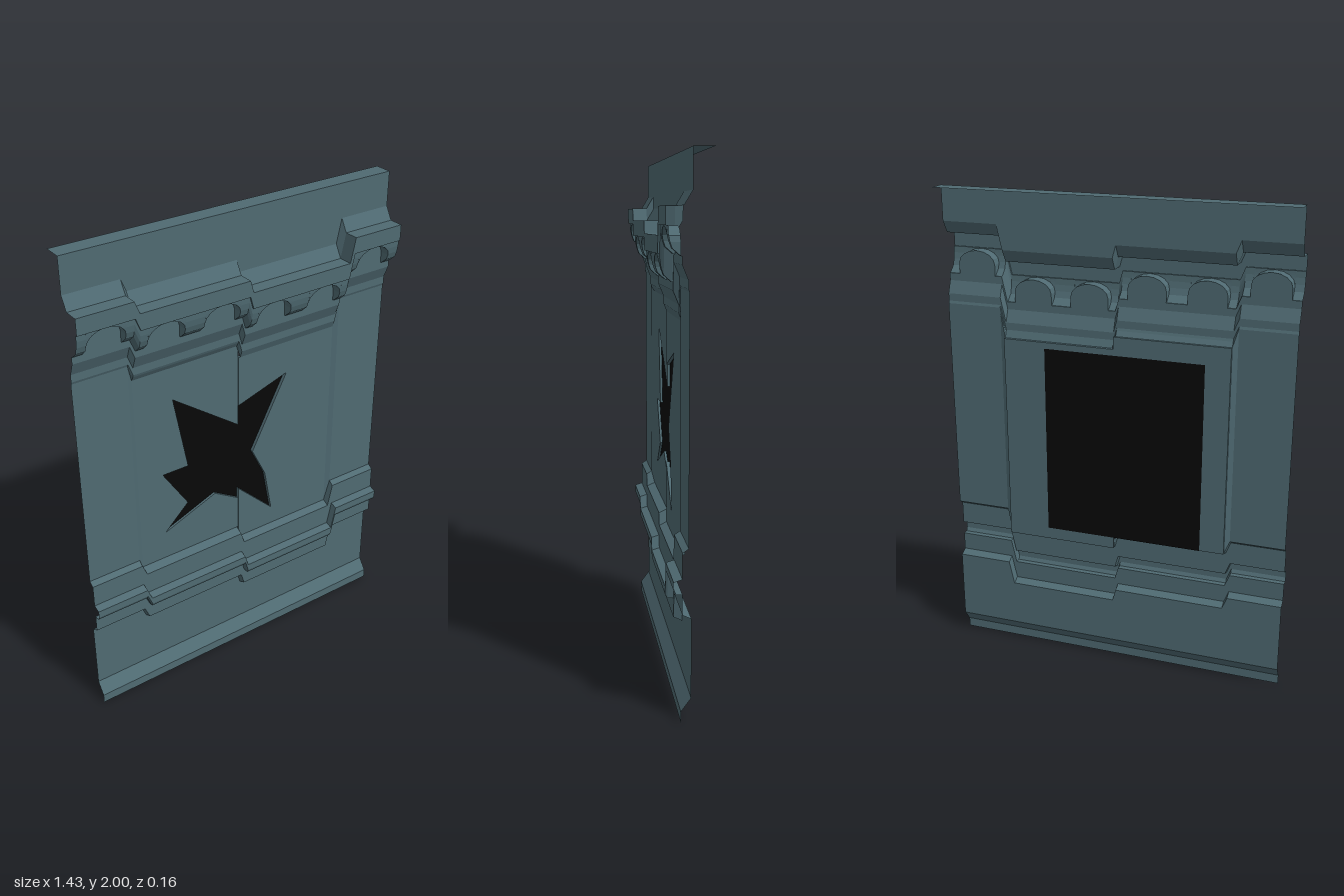
import * as THREE from 'three';

const WALL_Z = -0.01;

// Height of a rounded arch opening at offset u (-1..1) from its centre
const archY = (u) => 1.69 + 0.053 * Math.sqrt(Math.max(0, 1 - u * u));

// Vertical moulding profile [y, z, shifts with the bay] for one column, top to bottom
function profile({ dy, arch, panelZ }) {
  const rows = [
    [2, -0.083, 0], [2, WALL_Z, 0],
    [1.86, WALL_Z, 1], [1.81, 0.02, 1], [1.81, 0.08, 1], [1.745, 0.08, 1],
  ];
  // Quarter-round below the cornice, cut short where an arch opens
  for (let i = 0; i <= 4; i++) {
    const y = THREE.MathUtils.lerp(1.745, arch, i / 4);
    const t = (1.745 - y) / 0.1;
    rows.push([y, 0.03 + 0.043 * Math.sqrt(Math.max(0, 1 - t * t)), 1]);
  }
  rows.push(
    [arch, 0.025, 1], [1.645, 0.025, 1], [1.615, 0.025, 1], [1.565, 0.004, 1],
    [1.535, 0.004, 1], [1.525, 0, 1], [1.505, panelZ, 1],
    [0.64, panelZ, 1], [0.625, 0.022, 1], [0.53, 0.022, 1], [0.52, 0.053, 1],
    [0.49, 0.053, 1], [0.475, 0.045, 1], [0.475, 0.022, 1], [0.4, 0.022, 1],
    [0.385, WALL_Z, 1],
    [0.09, WALL_Z, 0], [0.04, 0.027, 0], [0, 0.027, 0],
  );
  return rows.map(([y, z, s]) => [y + s * dy, z]);
}
const PANEL_ROW = 17; // row where the flat panel begins

// Columns across the wall: each bay has its own drop and its arches
function makeColumns() {
  const bays = [
    { x0: -0.716, x1: -0.49, dy: 0, panelZ: 0, arches: [-0.6] },
    { x0: -0.47, x1: -0.006, dy: -0.05, panelZ: -0.012, open: true, arches: [-0.36, -0.12] },
    { x0: 0.008, x1: 0.465, dy: -0.1, panelZ: -0.008, open: true, arches: [0.115, 0.353] },
    { x0: 0.487, x1: 0.716, dy: 0, panelZ: 0, arches: [0.593] },
  ];
  const columns = [];
  for (const bay of bays) {
    const add = (x, arch) => columns.push({ ...bay, x, arch });
    add(bay.x0, 1.645);
    for (const cx of bay.arches) {
      const r = 0.078;
      add(cx - r, 1.645);
      for (let i = 0; i <= 8; i++) {
        const u = -Math.cos((i / 8) * Math.PI);
        add(cx + u * r, archY(u));
      }
      add(cx + r, 1.645);
    }
    add(bay.x1, 1.645);
  }
  return columns;
}

function mouldedWallGeometry() {
  const columns = makeColumns();
  const grid = columns.map((c) => profile(c).map(([y, z]) => new THREE.Vector3(c.x, y, z)));
  const pos = [];
  const tri = (a, b, c) => {
    if (new THREE.Triangle(a, b, c).getArea() > 1e-8) {
      for (const p of [a, b, c]) pos.push(p.x, p.y, p.z);
    }
  };
  for (let i = 0; i < grid.length - 1; i++) {
    for (let j = 0; j < grid[i].length - 1; j++) {
      // Leave room for the broken panels
      if (j === PANEL_ROW && columns[i].open && columns[i + 1].open) continue;
      const a = grid[i][j], b = grid[i][j + 1], c = grid[i + 1][j + 1], d = grid[i + 1][j];
      tri(a, b, c);
      tri(a, c, d);
    }
  }
  const g = new THREE.BufferGeometry();
  g.setAttribute('position', new THREE.Float32BufferAttribute(pos, 3));
  g.computeVertexNormals();
  return g;
}

// Panel half whose inner edge carries a jagged notch, from bottom to top
function panelGeometry(outerX, dy, frontZ, notch) {
  const top = 1.505 + dy, bottom = 0.64 + dy;
  const pts = [[outerX, top], [outerX, bottom], [0, bottom], ...notch, [0, top]];
  const shape = new THREE.Shape(pts.map(([x, y]) => new THREE.Vector2(x, y)));
  const depth = frontZ + 0.022;
  return new THREE.ExtrudeGeometry(shape, { depth, bevelEnabled: false }).translate(0, 0, -0.022);
}

export function createModel() {
  const group = new THREE.Group();
  group.name = 'brokenWallPanel';
  const stone = new THREE.MeshStandardMaterial({
    color: 0x4f6a72, flatShading: true, side: THREE.DoubleSide,
  });
  const dark = new THREE.MeshStandardMaterial({ color: 0x080808, side: THREE.DoubleSide });
  const add = (name, geometry, material) => {
    const mesh = new THREE.Mesh(geometry, material);
    mesh.name = name;
    group.add(mesh);
    return mesh;
  };

  // Wall with cornice, arches, base moulding and skirting
  add('mouldedWall', mouldedWallGeometry(), stone);

  // Two panels with the jagged hole between them
  add('rightPanel', panelGeometry(-0.47, -0.05, -0.012, [
    [0, 0.74], [-0.115, 0.81], [-0.357, 0.714], [-0.246, 0.82],
    [-0.357, 0.995], [-0.24, 0.995], [-0.3, 1.317], [0, 1.1],
  ]), stone);
  add('leftPanel', panelGeometry(0.465, -0.1, -0.008, [
    [0, 0.79], [0.17, 0.624], [0.135, 0.815], [0.07, 0.947], [0.235, 1.265], [0, 1.19],
  ]), stone);

  // Dark sheet behind the hole
  add('holeBacking', new THREE.PlaneGeometry(0.66, 0.79), dark).position.set(-0.04, 0.985, -0.024);

  return group;
}
